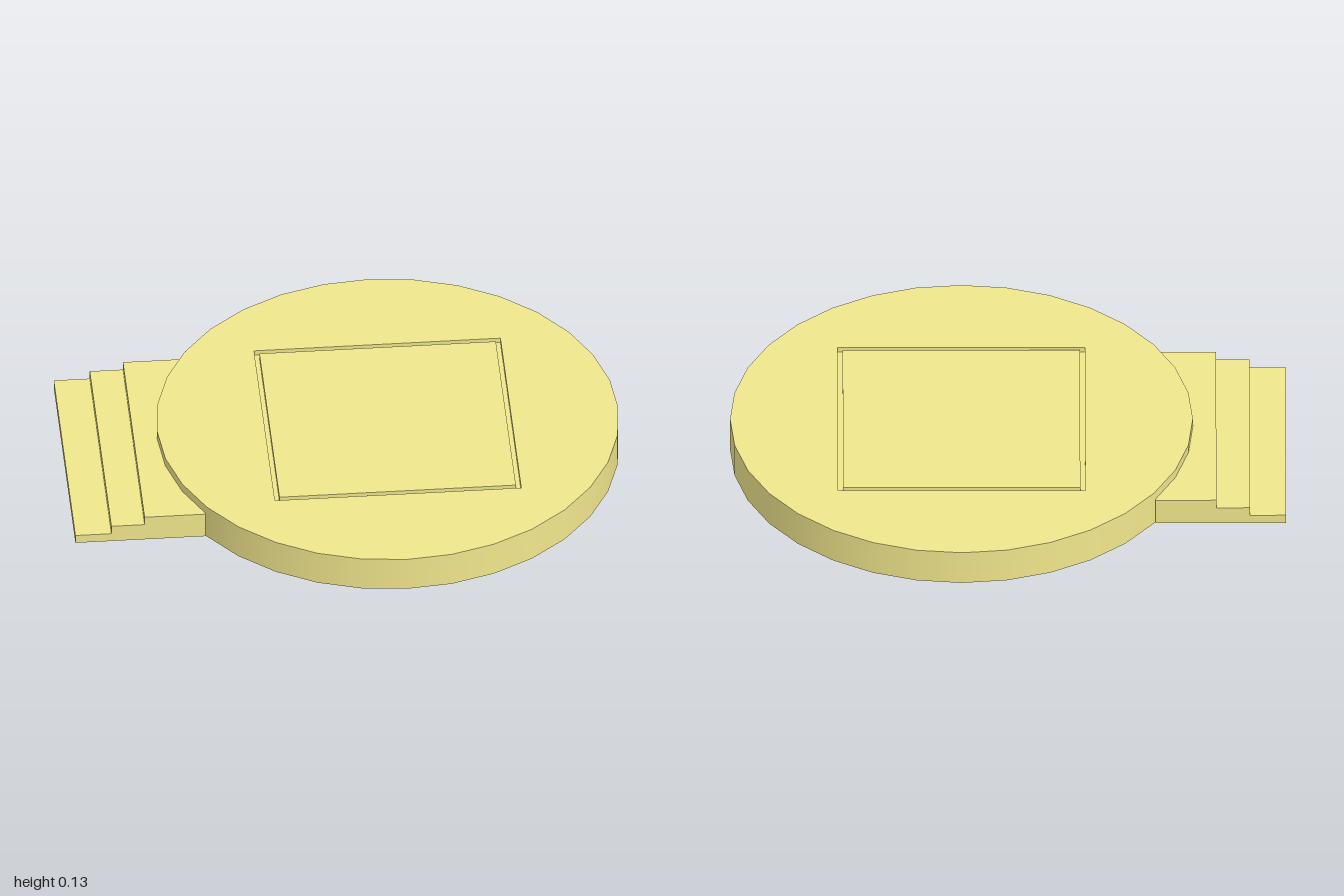
import * as THREE from 'three';
import { toCreasedNormals } from 'three/addons/utils/BufferGeometryUtils.js';

const RADIUS = 0.833, HEIGHT = 0.133, CENTRE_X = 0.167;
const GROOVE_DEPTH = 0.02, GROOVE_OUTER = 0.445, GROOVE_INNER = 0.427;
const SIDES = 32;

export function createModel() {
  const group = new THREE.Group();
  const material = new THREE.MeshStandardMaterial({ color: 0xf0e68c });

  const add = (name, geometry, x, y, z) => {
    const mesh = new THREE.Mesh(geometry, material);
    mesh.name = name;
    mesh.position.set(x, y, z);
    group.add(mesh);
  };

  // Round platform body, up to the floor of the groove
  const bodyHeight = HEIGHT - GROOVE_DEPTH;
  add('platformBody', new THREE.CylinderGeometry(RADIUS, RADIUS, bodyHeight, SIDES),
    CENTRE_X, bodyHeight / 2, 0);

  // Top layer of the platform with a square opening
  const circle = [];
  for (let i = 0; i < SIDES; i++) {
    const a = (i / SIDES) * Math.PI * 2;
    circle.push(new THREE.Vector2(RADIUS * Math.cos(a), RADIUS * Math.sin(a)));
  }
  const rim = new THREE.Shape(circle);
  const g = GROOVE_OUTER;
  rim.holes.push(new THREE.Path().moveTo(-g, -g).lineTo(-g, g).lineTo(g, g).lineTo(g, -g).closePath());
  const rimGeometry = new THREE.ExtrudeGeometry(rim, { depth: GROOVE_DEPTH, bevelEnabled: false });
  rimGeometry.rotateX(-Math.PI / 2);
  add('platformRim', toCreasedNormals(rimGeometry, 0.5), CENTRE_X, bodyHeight, 0);

  // Square centre panel, leaving a narrow groove around it
  add('centrePanel', new THREE.BoxGeometry(GROOVE_INNER * 2, GROOVE_DEPTH, GROOVE_INNER * 2),
    CENTRE_X, bodyHeight + GROOVE_DEPTH / 2, 0);

  // Three steps climbing to the platform
  const stepStarts = [-1, -0.87, -0.75];
  const rise = HEIGHT / 4, stepEnd = -0.53, stepWidth = 0.922;
  const profile = new THREE.Shape().moveTo(stepEnd, 0);
  profile.lineTo(stepEnd, rise * 3);
  for (let i = 2; i >= 0; i--) {
    profile.lineTo(stepStarts[i], rise * (i + 1));
    profile.lineTo(stepStarts[i], rise * i);
  }
  profile.closePath();
  add('steps', new THREE.ExtrudeGeometry(profile, { depth: stepWidth, bevelEnabled: false }),
    0, 0, -stepWidth / 2);

  return group;
}
